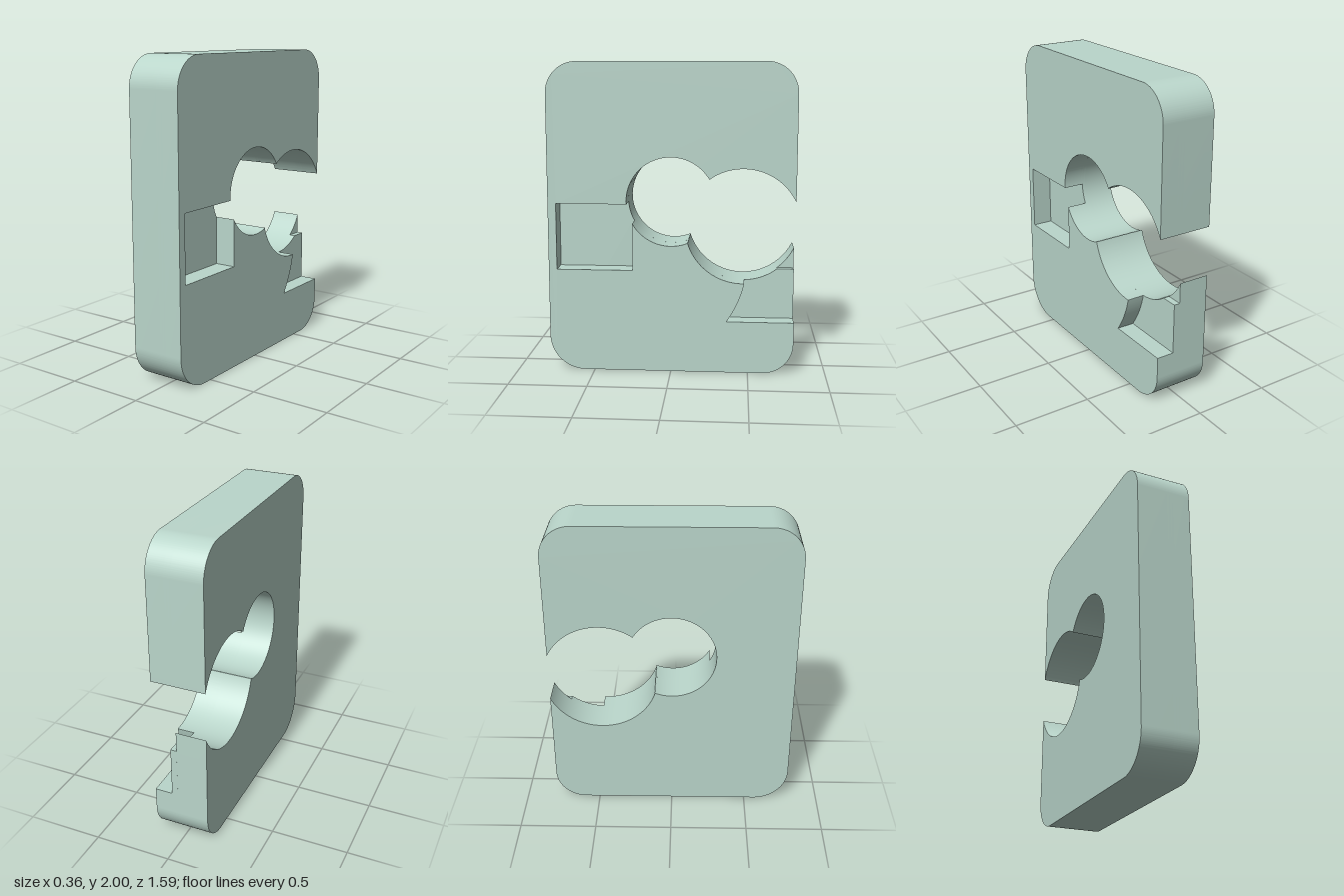
import * as THREE from 'three';
import { toCreasedNormals } from 'three/addons/utils/BufferGeometryUtils.js';

const W = 0.793, H = 2, R = 0.2;                  // half width, height, corner radius
const SMALL = { x: 0, y: 1.117, r: 0.285 };       // middle bore
const LARGE = { x: 0.46, y: 0.963, r: 0.369 };    // bore that breaks through the back edge

// Clockwise arc of a bore between two points lying on it
function boreArc(shape, c, from, to) {
  const angle = ([x, y]) => Math.atan2(y - c.y, x - c.x);
  shape.absarc(c.x, c.y, c.r, angle(from), angle(to), true);
}

// Plate outline, drawn as (-z, y), with the recesses open at this depth
function outline({ step = false, pocket = false, notch = false }) {
  const s = new THREE.Shape();
  const lowerCusp = [0.11, 0.855], upperCusp = [0.245, 1.262];
  s.moveTo(-W + 0.23, 0);
  s.lineTo(W - R, 0);
  s.absarc(W - R, R, R, -Math.PI / 2, 0, false);

  // back edge up to the large bore
  let start = [W, 0.803];
  if (notch) {
    s.lineTo(W, 0.34);
    s.lineTo(0.36, 0.34);
    s.quadraticCurveTo(0.445, 0.465, 0.472, 0.594);
    start = [0.472, 0.594];
  } else if (step) {
    s.lineTo(W, 0.67);
    start = [0.684, 0.67];
  }
  boreArc(s, LARGE, start, lowerCusp);

  // small bore, with the rectangular pocket opening into it
  if (pocket) {
    boreArc(s, SMALL, lowerCusp, [-0.247, 0.975]);
    s.lineTo(-0.247, 0.67);
    s.lineTo(-0.74, 0.67);
    s.lineTo(-0.74, 1.1);
    boreArc(s, SMALL, [-0.2845, 1.1], upperCusp);
  } else {
    boreArc(s, SMALL, lowerCusp, upperCusp);
  }
  boreArc(s, LARGE, upperCusp, [W, 1.123]);

  // back edge above the bore, top and front edge
  s.absarc(W - R, H - R, R, 0, Math.PI / 2, false);
  s.absarc(-W + R, H - R, R, Math.PI / 2, Math.PI, false);
  s.absarc(-W + 0.23, 0.23, 0.23, Math.PI, Math.PI * 1.5, false);
  return s;
}

export function createModel() {
  const group = new THREE.Group();
  group.name = 'slottedPlate';
  const material = new THREE.MeshStandardMaterial({ color: 0xbad6cb });

  // Plate in layers from right to left in depth, each with its recesses cut out
  const layers = [
    ['plateBase', -0.178, 0.023, {}],
    ['stepLayer', 0.023, 0.044, { step: true }],
    ['pocketLayer', 0.044, 0.063, { step: true, pocket: true }],
    ['notchLayer', 0.063, 0.178, { pocket: true, notch: true }],
  ];
  for (const [name, x0, x1, cuts] of layers) {
    const geometry = new THREE.ExtrudeGeometry(outline(cuts), {
      depth: x1 - x0, bevelEnabled: false, curveSegments: 40,
    });
    geometry.rotateY(Math.PI / 2);
    geometry.translate(x0, 0, 0);
    const mesh = new THREE.Mesh(toCreasedNormals(geometry, 0.5), material);
    mesh.name = name;
    group.add(mesh);
  }
  return group;
}
